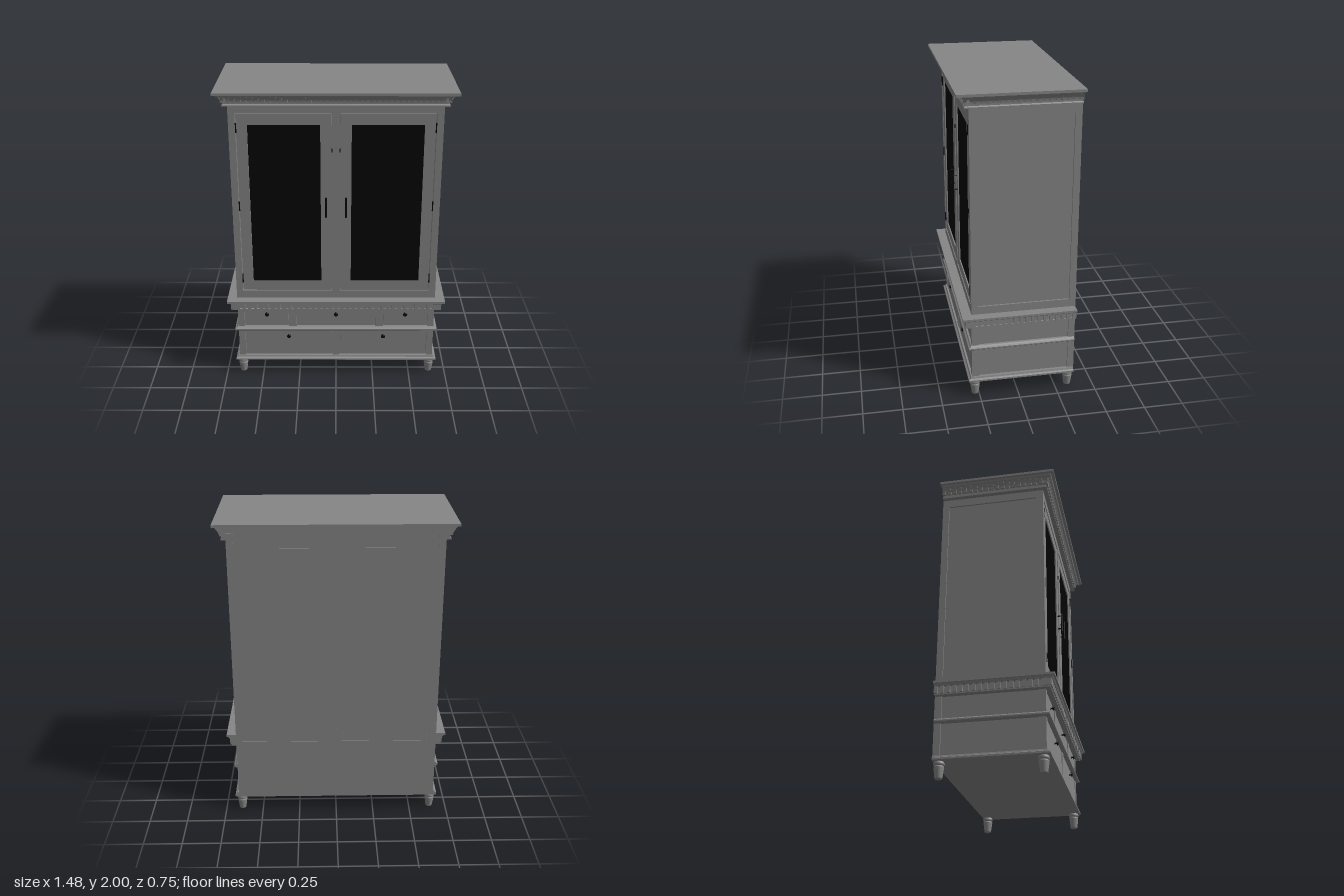
import * as THREE from 'three';

const grey = new THREE.MeshStandardMaterial({ color: 0x868686 });
const black = new THREE.MeshStandardMaterial({ color: 0x040404 });

// carcass limits; mouldings stop a little short of the back
const W = 0.66, F = 0.295, B = -0.372, MB = -0.3685;

export function createModel() {
  const root = new THREE.Group();

  const add = (name, geo, mat = grey, parent = root) => {
    const m = new THREE.Mesh(geo, mat);
    m.name = name;
    parent.add(m);
    return m;
  };
  // box given by its limits
  const box = (name, x0, x1, y0, y1, z0, z1, mat = grey, parent = root) => {
    const m = add(name, new THREE.BoxGeometry(x1 - x0, y1 - y0, z1 - z0), mat, parent);
    m.position.set((x0 + x1) / 2, (y0 + y1) / 2, (z0 + z1) / 2);
    return m;
  };
  // moulding round front and sides, flat at the back; profile = [overhang, y] upwards
  const moulding = (name, profile, back = MB) => {
    const rings = profile.map(([o, y]) => [
      [-W - o, y, back], [-W - o, y, F + o], [W + o, y, F + o], [W + o, y, back]]);
    const pos = [];
    const quad = (a, b, c, d) => pos.push(...a, ...b, ...c, ...a, ...c, ...d);
    for (let i = 0; i < rings.length - 1; i++) {
      for (let k = 0; k < 4; k++) {
        const n = (k + 1) % 4;
        quad(rings[i][k], rings[i][n], rings[i + 1][n], rings[i + 1][k]);
      }
    }
    const [a, b, c, d] = rings[0];
    quad(d, c, b, a);
    quad(...rings[rings.length - 1]);
    const g = new THREE.BufferGeometry();
    g.setAttribute('position', new THREE.Float32BufferAttribute(pos, 3));
    g.computeVertexNormals();
    add(name, g);
  };
  // row of small blocks along the front and both sides; profile = [overhang, y]
  const dentils = (name, profile, width, count, sideCount, reach) => {
    const group = new THREE.Group();
    group.name = name;
    const shape = new THREE.Shape(profile.map(([o, y]) => new THREE.Vector2(o, y)));
    const geo = new THREE.ExtrudeGeometry(shape, { depth: width, bevelEnabled: false });
    geo.translate(0, 0, -width / 2);
    const xs = W + reach - width / 2;
    for (let i = 0; i < count; i++) {
      const m = add('dentil', geo, grey, group);
      m.rotation.y = -Math.PI / 2;
      m.position.set(-xs + (2 * xs * i) / (count - 1), 0, F);
    }
    const z0 = MB + width / 2, z1 = F + reach - width / 2;
    for (let i = 0; i < sideCount; i++) {
      const z = z0 + ((z1 - z0) * i) / (sideCount - 1);
      add('dentil', geo, grey, group).position.set(W, 0, z);
      const m = add('dentil', geo, grey, group);
      m.rotation.y = Math.PI;
      m.position.set(-W, 0, z);
    }
    root.add(group);
  };

  // inner bodies, visible as the recessed side panels
  box('upperBody', -0.65, 0.65, 0.57, 1.95, -0.364, 0.262);
  box('lowerBody', -0.65, 0.65, 0.105, 0.565, -0.364, 0.275);

  // corner posts and side rails
  for (const s of [-1, 1]) {
    const side = (name, a, b, ...rest) => box(name, Math.min(a * s, b * s), Math.max(a * s, b * s), ...rest);
    side('frontPost', 0.617, W, 0.115, 1.95, 0.25, F);
    side('backPost', 0.617, W, 0.115, 1.95, B, -0.33);
    side('sideTopRail', 0.63, W, 1.852, 1.95, -0.33, 0.25);
    side('sideMiddleRail', 0.63, W, 0.57, 0.632, -0.33, 0.25);
  }

  // front rails and centre posts
  box('topRail', -0.617, 0.617, 1.852, 1.95, 0.25, F);
  box('waistRail', -0.617, 0.617, 0.57, 0.632, 0.25, F);
  box('centrePost', -0.025, 0.025, 0.632, 1.852, 0.25, F);
  box('lowerDivider', -0.025, 0.025, 0.125, 0.335, 0.25, F);
  for (const s of [-1, 1]) box('upperDivider', s * 0.2925 - 0.0265, s * 0.2925 + 0.0265, 0.35, 0.51, 0.25, F);

  // back boards, with shallow rails showing between them
  box('backTopRail', -0.617, 0.617, 1.85, 1.95, MB, -0.36);
  box('backWaistRail', -0.617, 0.617, 0.52, 0.62, MB, -0.36);
  for (const s of [-1, 1]) box('backBoard', s * 0.309 - 0.308, s * 0.309 + 0.308, 0.615, 1.855, B, -0.36);
  box('lowerBackBoard', -0.617, 0.617, 0.106, 0.53, B, -0.36);

  // cornice
  moulding('cornice', [[0.03, 1.904], [0.03, 1.912], [0.022, 1.918], [0.022, 1.93], [0.026, 1.946],
    [0.046, 1.97], [0.058, 1.973], [0.064, 1.986]]);
  moulding('corniceTop', [[0.082, 1.984], [0.082, 2]], -0.375);
  dentils('corniceDentils', [[0, 1.93], [0.036, 1.93], [0.038, 1.946], [0.046, 1.96], [0.056, 1.973], [0, 1.973]],
    0.02, 40, 20, 0.036);

  // waist moulding
  moulding('waistMoulding', [[0.03, 0.502], [0.03, 0.51], [0.026, 0.512], [0.026, 0.552], [0.044, 0.554], [0.052, 0.567]]);
  moulding('waistTop', [[0.062, 0.566], [0.062, 0.58]]);
  dentils('waistDentils', [[0, 0.509], [0.04, 0.509], [0.04, 0.555], [0, 0.555]], 0.022, 37, 19, 0.04);

  // drawer and base mouldings
  moulding('middleMoulding', [[0.01, 0.332], [0.018, 0.336], [0.022, 0.34], [0.022, 0.348], [0.012, 0.353], [0.006, 0.36]]);
  moulding('baseMoulding', [[0.018, 0.101], [0.024, 0.105], [0.024, 0.116], [0.012, 0.122], [0.008, 0.133]]);

  // drawers with turned knobs
  const knobGeo = new THREE.LatheGeometry([[0, 0], [0.009, 0], [0.009, 0.003], [0.005, 0.006], [0.005, 0.012],
    [0.013, 0.015], [0.014, 0.019], [0.01, 0.023], [0, 0.025]].map(p => new THREE.Vector2(...p)), 16);
  knobGeo.rotateX(Math.PI / 2);
  const drawer = (x0, x1, y0, y1, knobX, knobY) => {
    box('drawerFront', x0 + 0.004, x1 - 0.004, y0, y1, 0.26, 0.291);
    add('drawerKnob', knobGeo, black).position.set(knobX, knobY, 0.29);
  };
  drawer(-0.617, -0.319, 0.364, 0.5, -0.465, 0.456);
  drawer(-0.266, 0.266, 0.364, 0.5, 0, 0.456);
  drawer(0.319, 0.617, 0.364, 0.5, 0.465, 0.456);
  drawer(-0.617, -0.025, 0.137, 0.329, -0.32, 0.286);
  drawer(0.025, 0.617, 0.137, 0.329, 0.32, 0.286);

  // doors: frame with opening, dark pane, bar handle and hinges
  const rect = (x0, x1, y0, y1) => [[x0, y0], [x1, y0], [x1, y1], [x0, y1]].map(p => new THREE.Vector2(...p));
  const frame = new THREE.Shape(rect(0.029, 0.613, 0.636, 1.848));
  frame.holes.push(new THREE.Path(rect(0.097, 0.545, 0.702, 1.78).reverse()));
  const frameGeo = new THREE.ExtrudeGeometry(frame, { depth: 0.036, bevelEnabled: false });
  for (const s of [-1, 1]) {
    const door = new THREE.Group();
    door.name = s > 0 ? 'leftDoor' : 'rightDoor';
    add('doorFrame', frameGeo, grey, door).position.set(s > 0 ? 0 : -0.642, 0, 0.255);
    box('doorPane', s * 0.321 - 0.226, s * 0.321 + 0.226, 0.7, 1.782, 0.261, 0.283, black, door);
    add('handleBar', new THREE.CylinderGeometry(0.0055, 0.0055, 0.135, 12), black, door)
      .position.set(s * 0.063, 1.241, 0.318);
    for (const y of [1.193, 1.289]) {
      const post = add('handlePost', new THREE.CylinderGeometry(0.004, 0.004, 0.028, 10), black, door);
      post.rotation.x = Math.PI / 2;
      post.position.set(s * 0.063, y, 0.304);
    }
    for (const y of [0.727, 1.242, 1.761]) {
      add('hinge', new THREE.CylinderGeometry(0.004, 0.004, 0.064, 10), black, door).position.set(s * 0.614, y, 0.295);
    }
    box('doorCatch', s * 0.025 - 0.003, s * 0.025 + 0.003, 1.602, 1.627, 0.28, 0.296, black, door);
    root.add(door);
  }

  // turned feet
  const footGeo = new THREE.LatheGeometry([[0, 0], [0.021, 0], [0.023, 0.006], [0.031, 0.066], [0.031, 0.072], [0.027, 0.075],
    [0.027, 0.078], [0.033, 0.082], [0.034, 0.09], [0.031, 0.096], [0.029, 0.104]].map(p => new THREE.Vector2(...p)), 20);
  for (const x of [-0.64, 0.64]) {
    for (const z of [-0.336, 0.275]) add('foot', footGeo).position.set(x, 0, z);
  }
  return root;
}
